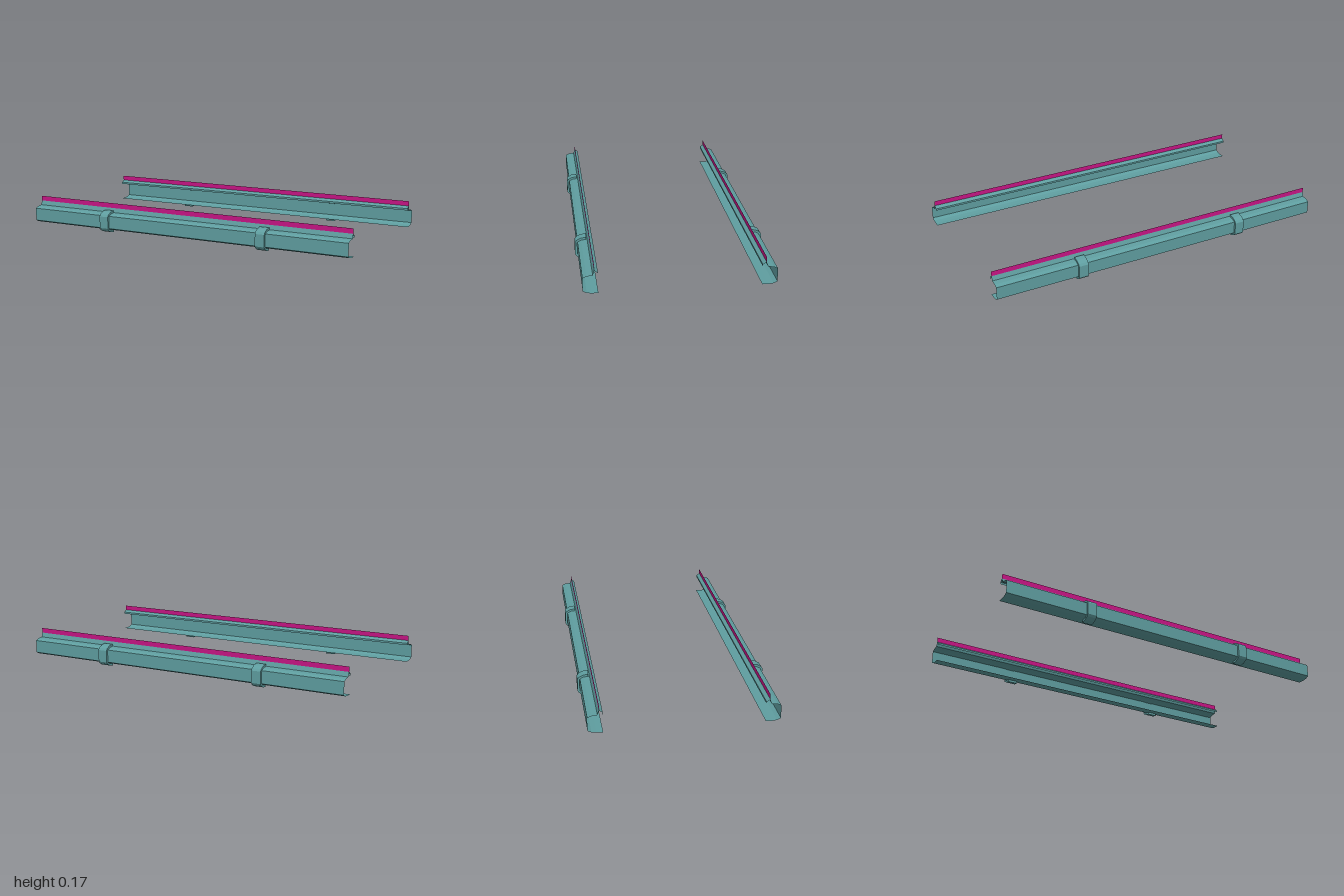
import * as THREE from 'three';

const teal = new THREE.MeshStandardMaterial({ color: 0x5f9ea0, side: THREE.DoubleSide });
const pink = new THREE.MeshStandardMaterial({ color: 0xc71585, side: THREE.DoubleSide });

// Thin folded sheet: a [z, y] profile swept along x, flat-shaded
function sheet(name, profile, material) {
  const pos = [];
  for (let i = 0; i < profile.length - 1; i++) {
    const [z0, y0] = profile[i], [z1, y1] = profile[i + 1];
    pos.push(-1, y0, z0, 1, y0, z0, 1, y1, z1, -1, y0, z0, 1, y1, z1, -1, y1, z1);
  }
  const geo = new THREE.BufferGeometry();
  geo.setAttribute('position', new THREE.Float32BufferAttribute(pos, 3));
  geo.computeVertexNormals();
  const mesh = new THREE.Mesh(geo, material);
  mesh.name = name;
  return mesh;
}

// Solid C-shaped clamp, wrapped around the outside of the rail
function clamp(x) {
  const width = 0.056;
  const outline = [
    [0.453, 0], [0.483, 0.005], [0.505, 0.017], [0.513, 0.029],
    [0.513, 0.097], [0.505, 0.109], [0.483, 0.121], [0.453, 0.126],
    [0.453, 0.113], [0.479, 0.11], [0.496, 0.102], [0.501, 0.095],
    [0.501, 0.031], [0.496, 0.024], [0.479, 0.016], [0.453, 0.013],
  ];
  const shape = new THREE.Shape(outline.map(([z, y]) => new THREE.Vector2(z, y)));
  const geo = new THREE.ExtrudeGeometry(shape, { depth: width, bevelEnabled: false });
  geo.translate(0, 0, -width / 2).rotateY(-Math.PI / 2);
  const mesh = new THREE.Mesh(geo, teal);
  mesh.name = 'clamp';
  mesh.position.x = x;
  return mesh;
}

function rail(name) {
  const group = new THREE.Group();
  group.name = name;
  // Channel: lower lip, outer wall, upper flange
  group.add(sheet('channel', [
    [0.42, 0.015], [0.453, 0.015], [0.479, 0.018], [0.499, 0.028],
    [0.499, 0.1], [0.479, 0.109], [0.447, 0.113],
  ], teal));
  // Steep ridge carrying the coloured strip
  group.add(sheet('ridge', [
    [0.447, 0.113], [0.439, 0.138], [0.42, 0.125], [0.42, 0.114],
  ], teal));
  group.add(sheet('coloredStrip', [[0.439, 0.138], [0.439, 0.166]], pink));
  for (const x of [-0.5, 0.5]) group.add(clamp(x));
  return group;
}

export function createModel() {
  const model = new THREE.Group();
  model.name = 'sideRails';
  const back = rail('backRail');
  back.rotation.y = Math.PI;
  model.add(rail('frontRail'), back);
  return model;
}
